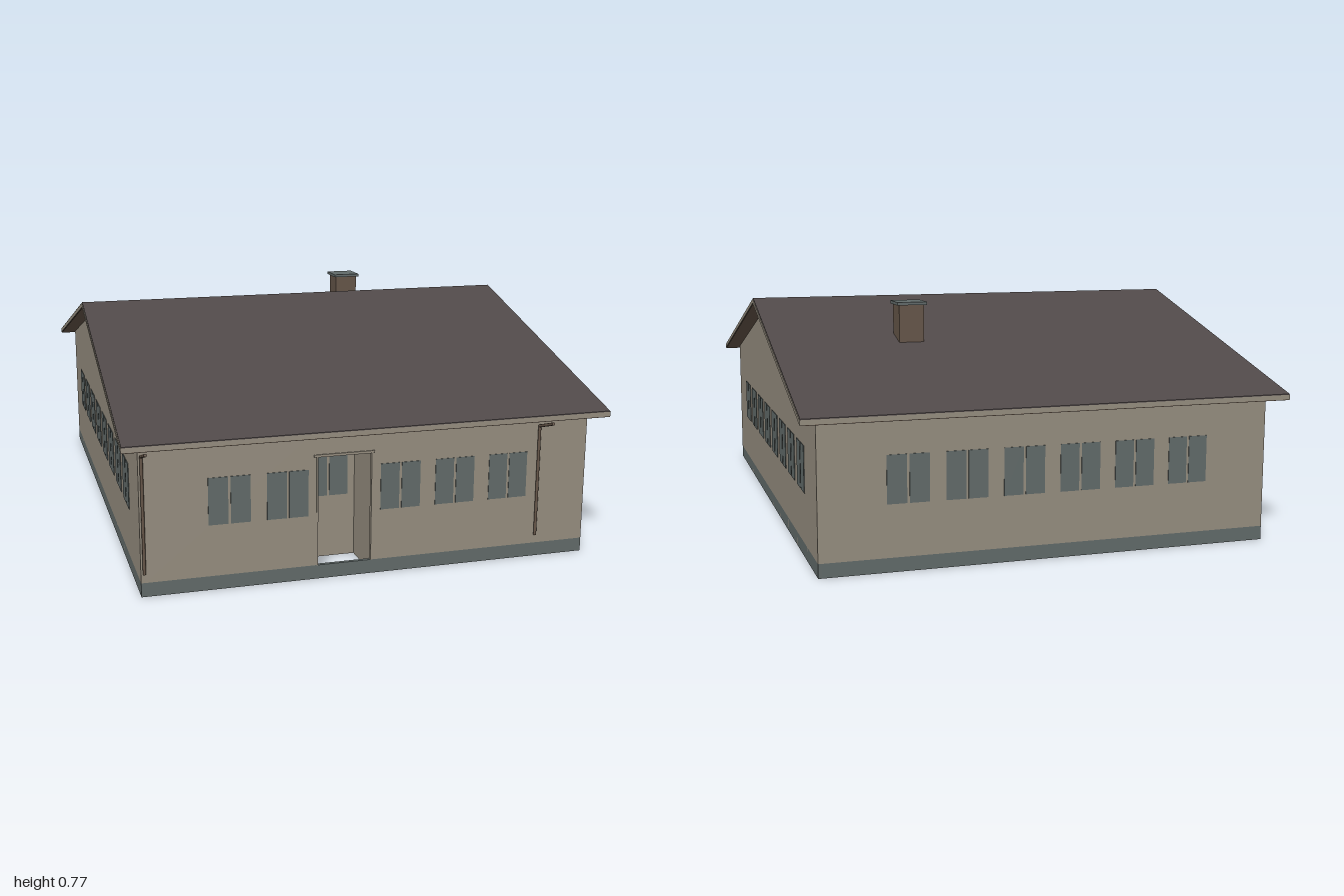
import * as THREE from 'three';

const mat = (name, color) => Object.assign(new THREE.MeshStandardMaterial({ color }), { name });

// House footprint and the square room grid
const X = 0.735, ZF = 0.9, ZB = -0.945, T = 0.012, BASE = 0.045, CEIL = 0.43;
const PX = (2 * X) / 8, PZ = (ZF - ZB) / 10;
const gx = i => -X + i * PX;
const gz = k => ZB + k * PZ;
const RIDGE = { z: -0.02, y: 0.76 }, EAVE_Y = 0.49, SLAB = 0.02;

export function createModel() {
  const plaster = mat('plaster', 0x968e80);
  const slate = mat('slate', 0x626b6a);
  const brown = mat('brown', 0x665649);
  const roofing = mat('roofing', 0x504949);
  const house = new THREE.Group();
  house.name = 'house';

  const group = name => {
    const g = new THREE.Group();
    g.name = name;
    house.add(g);
    return g;
  };
  const add = (parent, name, geo, material) => {
    const m = new THREE.Mesh(geo, material);
    m.name = name;
    parent.add(m);
    return m;
  };
  // Box given by its limits on each axis
  const box = (parent, name, material, x0, x1, y0, y1, z0, z1) =>
    add(parent, name, new THREE.BoxGeometry(x1 - x0, y1 - y0, z1 - z0)
      .translate((x0 + x1) / 2, (y0 + y1) / 2, (z0 + z1) / 2), material);
  // Profile of [z, y] points extruded along x
  const extrudeX = (parent, name, material, pts, x0, x1) =>
    add(parent, name, new THREE.ExtrudeGeometry(
      new THREE.Shape(pts.map(p => new THREE.Vector2(...p))), { depth: x1 - x0, bevelEnabled: false })
      .rotateY(-Math.PI / 2).translate(x1, 0, 0), material);

  // Outer walls: gables, front with a doorway, back
  const walls = group('walls');
  const gable = [[ZF, BASE], [ZF, 0.483], [RIDGE.z, RIDGE.y - SLAB], [ZB, 0.484], [ZB, BASE]];
  extrudeX(walls, 'leftGable', plaster, gable, X - T, X);
  extrudeX(walls, 'rightGable', plaster, gable, -X, -X + T);
  const doorL = gx(3), doorR = gx(4), doorTop = 0.4;
  box(walls, 'backWall', plaster, -X + T, X - T, BASE, 0.484, ZB, ZB + T);
  box(walls, 'frontWallRight', plaster, -X + T, doorL, BASE, 0.483, ZF - T, ZF);
  box(walls, 'frontWallLeft', plaster, doorR, X - T, BASE, 0.483, ZF - T, ZF);
  box(walls, 'frontWallOverDoor', plaster, doorL, doorR, doorTop, 0.483, ZF - T, ZF);

  // Plinth
  const plinth = group('plinth');
  for (const s of [-1, 1]) {
    box(plinth, 'sidePlinth', slate, s > 0 ? X - T : -X, s > 0 ? X : -X + T, 0, BASE, ZB, ZF);
  }
  box(plinth, 'frontPlinth', slate, -X + T, X - T, 0, BASE, ZF - T, ZF);
  box(plinth, 'backPlinth', slate, -X + T, X - T, 0, BASE, ZB, ZB + T);

  // Door surround
  const frame = group('doorFrame');
  box(frame, 'lintel', plaster, doorL - 0.008, doorR + 0.004, doorTop - 0.002, doorTop + 0.006, ZF, ZF + 0.004);
  box(frame, 'rightJamb', plaster, doorL, doorL + 0.005, BASE, doorTop, ZF - T, ZF + 0.003);
  box(frame, 'leftJamb', plaster, doorR - 0.005, doorR, BASE, doorTop, ZF - T, ZF + 0.003);

  // Window panes in pairs, one pair for each room
  const windows = group('windows');
  const P = 0.002, paneY = [0.21, 0.36];
  const pane = [[-0.066, -0.004], [0.004, 0.066]];
  for (let i = 1; i < 7; i++) {
    const c = gx(i + 0.5);
    const zf = i === 3 ? gz(9) + T / 2 : ZF;
    for (const [a, b] of pane) {
      box(windows, 'frontPane', slate, c + a, c + b, ...paneY, zf, zf + P);
      box(windows, 'backPane', slate, c + a, c + b, ...paneY, ZB - P, ZB);
    }
  }
  for (let k = 1; k < 9; k++) {
    const c = gz(k + 0.5);
    for (const [a, b] of pane) {
      box(windows, 'leftPane', slate, X, X + P, ...paneY, c + a, c + b);
      box(windows, 'rightPane', slate, -X - P, -X, ...paneY, c + a, c + b);
    }
  }

  // Thin room partitions on the grid
  const rooms = group('partitions');
  const H = 0.002;
  const alongX = (i0, i1, k, h = H) => box(rooms, 'partition', plaster, gx(i0), gx(i1), 0.001, CEIL, gz(k) - h, gz(k) + h);
  const alongZ = (i, k0, k1) => box(rooms, 'partition', plaster, gx(i) - H, gx(i) + H, 0.001, CEIL, gz(k0) + H, gz(k1) - H);
  alongX(1, 7, 1);
  alongX(1, 7, 9, T / 2);
  alongZ(1, 1, 9);
  alongZ(7, 1, 9);
  for (let i = 1; i < 8; i++) {
    alongZ(i, 0, 1);
    alongZ(i, 9, 10);
  }
  for (let k = 1; k < 10; k++) {
    alongX(0, 1, k);
    alongX(7, 8, k);
  }
  // Inner U-shaped block of rooms
  for (const k of [3, 7]) alongX(2, 6, k);
  for (const k of [4, 6]) alongX(2, 6, k);
  alongX(2, 3, 5);
  alongZ(2, 3, 7);
  alongZ(3, 3, 7);
  for (let i = 4; i <= 6; i++) {
    alongZ(i, 3, 4);
    alongZ(i, 6, 7);
  }

  // Corridor floor around the inner rooms, and the ceiling
  const path = (Type, pts) => new Type(pts.map(([i, k]) => new THREE.Vector2(gx(i), -gz(k))));
  const floor = path(THREE.Shape, [[1, 1], [7, 1], [7, 9], [1, 9]]);
  floor.holes.push(path(THREE.Path, [[2, 3], [6, 3], [6, 4], [3, 4], [3, 6], [6, 6], [6, 7], [2, 7]]));
  add(house, 'corridorFloor', new THREE.ExtrudeGeometry(floor, { depth: 0.006, bevelEnabled: false })
    .rotateX(-Math.PI / 2), slate);
  box(house, 'ceiling', plaster, -X + T, X - T, CEIL, CEIL + 0.006, ZB + T, ZF - T);

  // Roof: plaster-edged slab with dark covering and brown soffit
  const roof = group('roof');
  const chevron = (name, material, top, bottom, hx) => extrudeX(roof, name, material, [
    [0.95, EAVE_Y + top], [RIDGE.z, RIDGE.y + top], [-1, EAVE_Y + top],
    [-1, EAVE_Y + bottom], [RIDGE.z, RIDGE.y + bottom], [0.95, EAVE_Y + bottom]], -hx, hx);
  chevron('roofSlab', plaster, -0.003, -SLAB + 0.002, 0.79);
  chevron('roofCovering', roofing, 0, -0.003, 0.788);
  chevron('soffit', brown, -SLAB + 0.002, -SLAB, 0.788);

  // Chimney
  const chimney = group('chimney');
  box(chimney, 'chimneyStack', brown, 0.28, 0.365, 0.6, 0.76, -0.47, -0.385);
  box(chimney, 'chimneyCap', slate, 0.272, 0.373, 0.76, 0.77, -0.48, -0.378);

  // Downpipes with a sloping spout at the eave
  const pipe = (parent, name, a, b) => {
    const d = b.clone().sub(a);
    const m = add(parent, name, new THREE.CylinderGeometry(0.005, 0.005, d.length(), 8), brown);
    m.position.copy(a).addScaledVector(d, 0.5);
    m.quaternion.setFromUnitVectors(new THREE.Vector3(0, 1, 0), d.normalize());
  };
  for (const x of [-0.725, 0.563]) {
    const g = group('downpipe');
    const elbow = new THREE.Vector3(x, 0.445, ZF + 0.007);
    pipe(g, 'pipe', new THREE.Vector3(x, 0.075, ZF + 0.007), elbow);
    pipe(g, 'spout', elbow, new THREE.Vector3(x, 0.475, 0.998));
  }
  return house;
}
